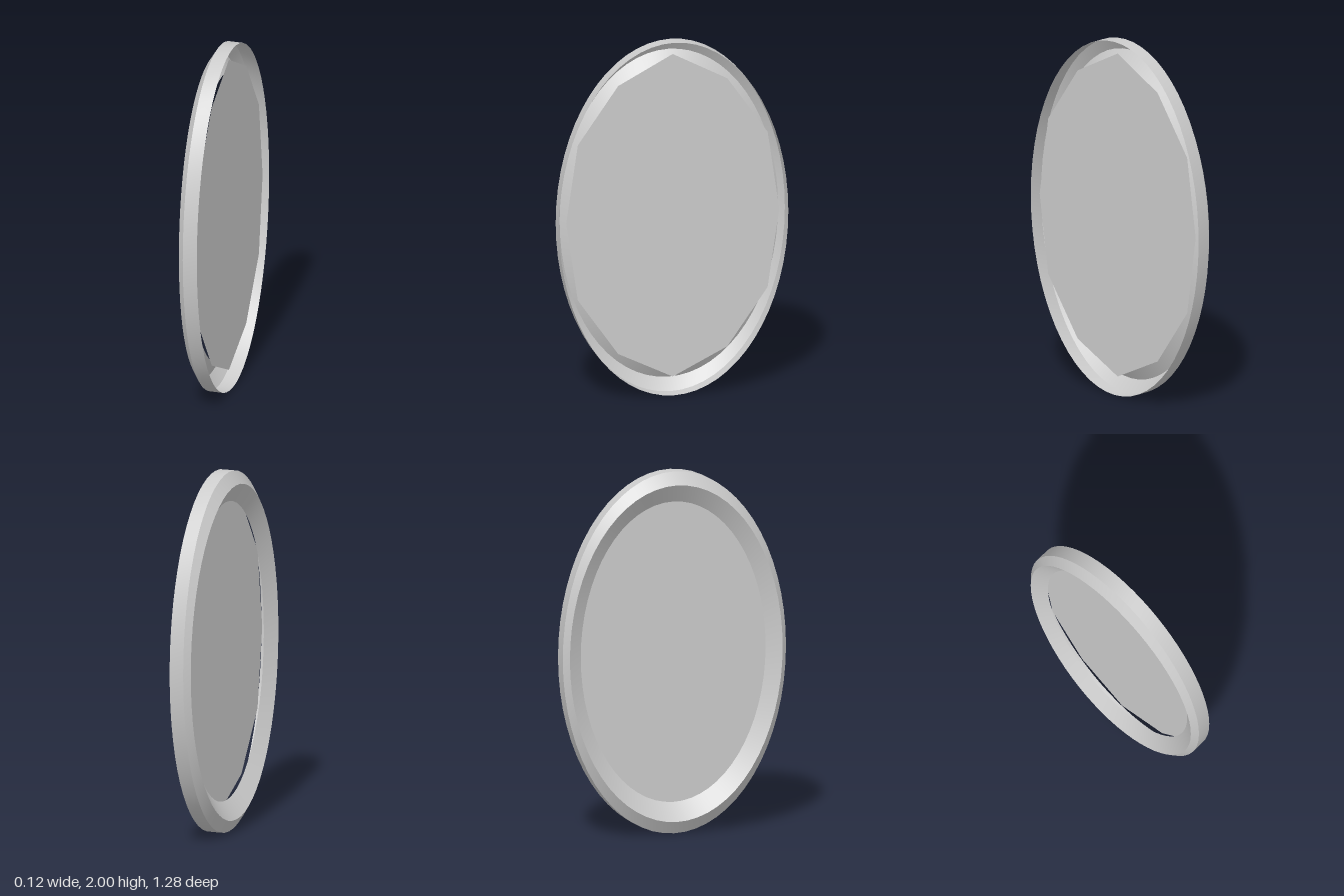
import * as THREE from 'three';

const SEGMENTS = 64;
const material = new THREE.MeshStandardMaterial({ color: 0xcccccc, side: THREE.DoubleSide });

// Elliptical rings of the frame section, from the open back edge to the inner lip.
// x is the depth, bow pushes the top and bottom of a ring further out.
const rings = [
  { x: 0.06, ry: 1.0, rz: 0.64, bow: 0 },
  { x: -0.02, ry: 1.0, rz: 0.64, bow: 0 },
  { x: -0.052, ry: 0.93, rz: 0.61, bow: -0.011 },
  { x: 0.0, ry: 0.83, rz: 0.53, bow: 0 },
];

// Smooth band between two rings; separate bands keep the edges sharp
function band(name, a, b) {
  const positions = [], index = [];
  for (let i = 0; i < SEGMENTS; i++) {
    const t = (i / SEGMENTS) * Math.PI * 2;
    const s = Math.sin(t), c = Math.cos(t);
    for (const r of [a, b]) positions.push(r.x + r.bow * s * s, 1 + r.ry * s, r.rz * c);
    const p = i * 2, q = ((i + 1) % SEGMENTS) * 2;
    index.push(p, q, p + 1, q, q + 1, p + 1);
  }
  const geometry = new THREE.BufferGeometry();
  geometry.setAttribute('position', new THREE.Float32BufferAttribute(positions, 3));
  geometry.setIndex(index);
  geometry.computeVertexNormals();
  const mesh = new THREE.Mesh(geometry, material);
  mesh.name = name;
  return mesh;
}

// Flat twelve-sided panel set inside the frame
function panel() {
  const half = [[0, 1.93], [0.305, 1.77], [0.53, 1.45], [0.595, 1.01], [0.53, 0.57], [0.305, 0.25], [0, 0.1]];
  const mirrored = half.slice(1, -1).reverse().map(([z, y]) => [-z, y]);
  const outline = [...half, ...mirrored].map(([z, y]) => new THREE.Vector2(z, y));
  const geometry = new THREE.ShapeGeometry(new THREE.Shape(outline));
  geometry.rotateY(Math.PI / 2);
  geometry.translate(0.037, 0, 0);
  const mesh = new THREE.Mesh(geometry, material);
  mesh.name = 'mirrorPanel';
  return mesh;
}

export function createModel() {
  const model = new THREE.Group();
  model.name = 'ovalMirror';
  const frame = new THREE.Group();
  frame.name = 'frame';
  ['outerWall', 'outerBevel', 'innerSlope'].forEach((name, i) => frame.add(band(name, rings[i], rings[i + 1])));
  model.add(frame, panel());
  return model;
}
